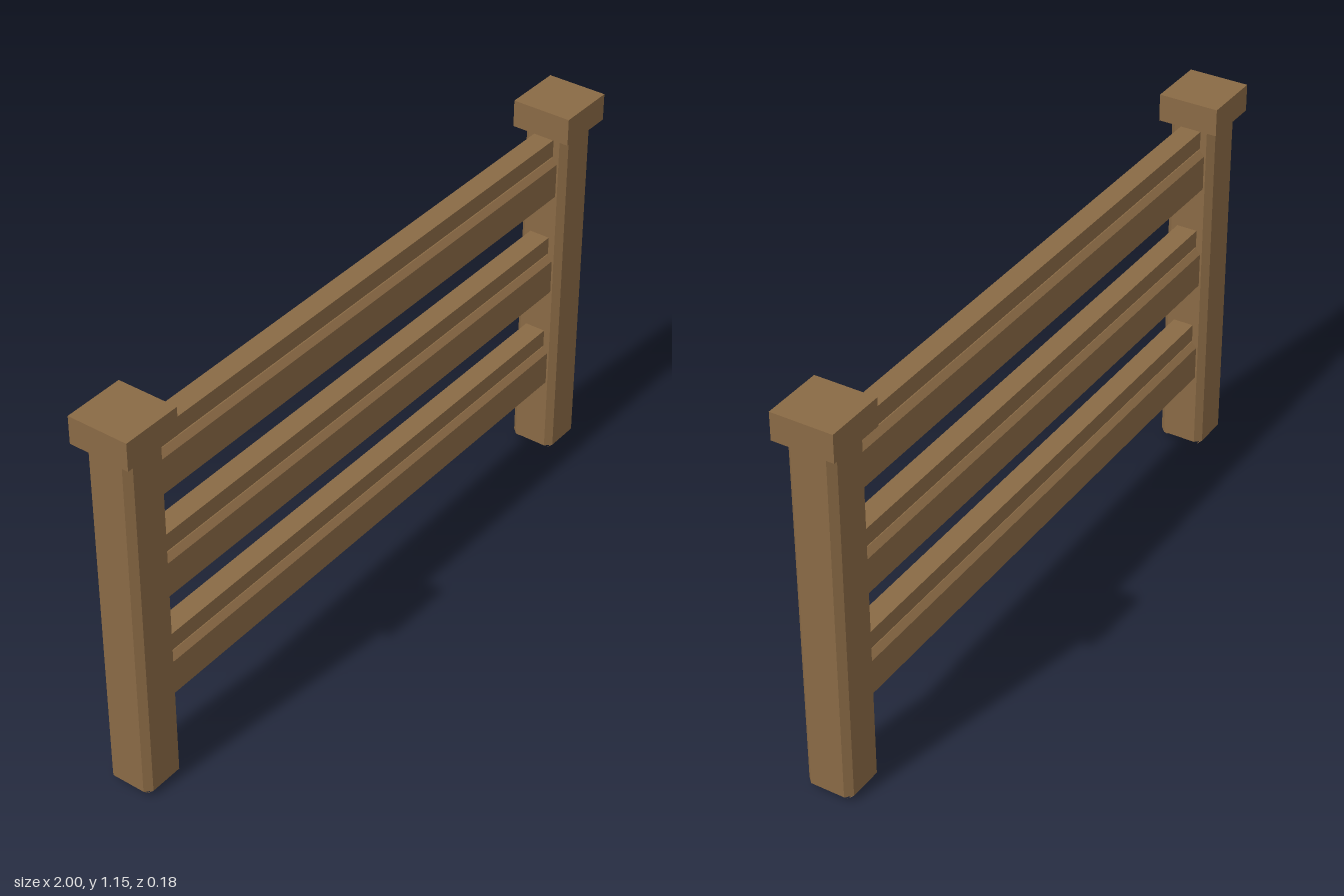
import * as THREE from 'three';

const wood = new THREE.MeshStandardMaterial({ color: 0x8a6a45 });
wood.name = 'brown wood';

// Rectangle with cut corners, centred on the origin
function cutRectangle(w, h, cut) {
  const x = w / 2, y = h / 2;
  return new THREE.Shape([
    [x - cut, -y], [x, -y + cut], [x, y - cut], [x - cut, y],
    [-x + cut, y], [-x, y - cut], [-x, -y + cut], [-x + cut, -y],
  ].map(([a, b]) => new THREE.Vector2(a, b)));
}

function addMesh(parent, name, geometry, x, y, z) {
  const mesh = new THREE.Mesh(geometry, wood);
  mesh.name = name;
  mesh.position.set(x, y, z);
  parent.add(mesh);
  return mesh;
}

// Upright post with bevelled corners and a tapered foot
function postGeometry(size, height, cut) {
  const geometry = new THREE.ExtrudeGeometry(cutRectangle(size, size, cut), {
    depth: height, steps: 1, bevelEnabled: false,
  }).toNonIndexed();
  geometry.rotateX(-Math.PI / 2);
  geometry.translate(0, cut, 0);
  // Foot: walls slope in from the post section to a smaller square
  const h = size / 2, s = h - cut;
  const ring = [[s, -h], [h, -s], [h, s], [s, h], [-s, h], [-h, s], [-h, -s], [-s, -h]];
  const p = [];
  ring.forEach(([x, z], i) => {
    const [x2, z2] = ring[(i + 1) % 8];
    const inX = (v) => Math.sign(v) * s;
    const a = [x, cut, z], b = [x2, cut, z2];
    const c = [inX(x2), 0, inX(z2)], d = [inX(x), 0, inX(z)];
    p.push(...a, ...c, ...b);
    if (d[0] !== c[0] || d[2] !== c[2]) p.push(...a, ...d, ...c);
  });
  p.push(-s, 0, -s, s, 0, s, -s, 0, s, -s, 0, -s, s, 0, -s, s, 0, s);
  const foot = new THREE.BufferGeometry();
  foot.setAttribute('position', new THREE.Float32BufferAttribute(p, 3));
  foot.computeVertexNormals();
  return { shaft: geometry, foot };
}

export function createModel() {
  const fence = new THREE.Group();
  fence.name = 'fence';

  // Posts with square caps
  const { shaft, foot } = postGeometry(0.137, 1.06, 0.018);
  const cap = new THREE.BoxGeometry(0.178, 0.08, 0.178);
  for (const side of [-1, 1]) {
    const post = new THREE.Group();
    post.name = side > 0 ? 'leftPost' : 'rightPost';
    post.position.x = side * 0.911;
    addMesh(post, 'postShaft', shaft, 0, 0, 0);
    addMesh(post, 'postFoot', foot, 0, 0, 0);
    addMesh(post, 'postCap', cap, 0, 1.11, 0);
    fence.add(post);
  }

  // Three rails, each a bevelled plank under a narrow strip
  const length = 1.74;
  const plank = new THREE.ExtrudeGeometry(cutRectangle(0.09, 0.135, 0.016), {
    depth: length, bevelEnabled: false,
  });
  plank.translate(0, 0, -length / 2);
  plank.rotateY(Math.PI / 2);
  const strip = new THREE.BoxGeometry(length, 0.052, 0.062);
  for (let i = 0; i < 3; i++) {
    const rail = new THREE.Group();
    rail.name = 'rail' + (i + 1);
    rail.position.y = 0.231 + i * 0.317;
    addMesh(rail, 'railPlank', plank, 0, 0.0675, 0);
    addMesh(rail, 'railStrip', strip, 0, 0.167, 0);
    fence.add(rail);
  }
  return fence;
}
